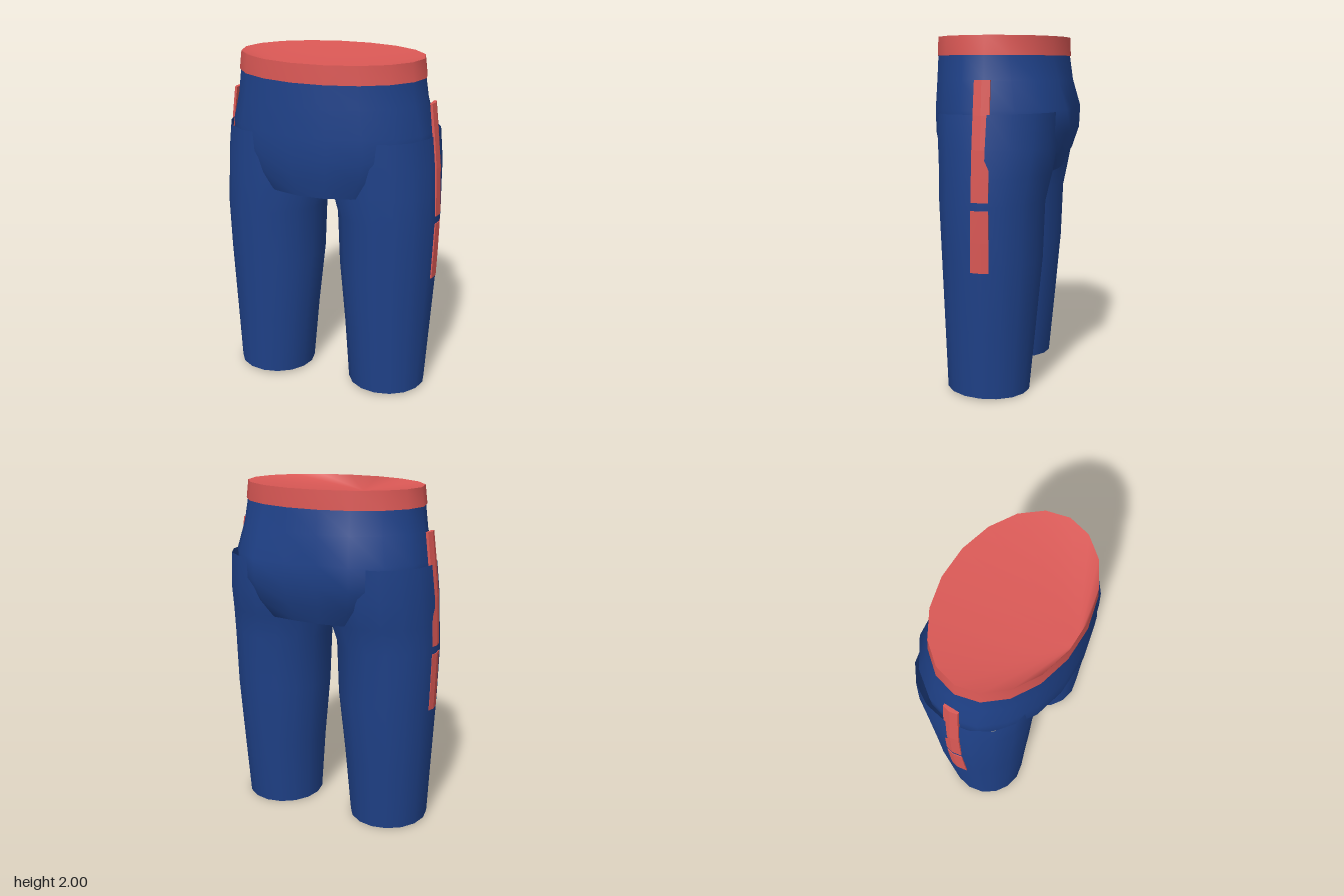
import * as THREE from 'three';
import { mergeVertices } from 'three/addons/utils/BufferGeometryUtils.js';

const red = new THREE.MeshStandardMaterial({ color: 0xda5855, side: THREE.DoubleSide });
red.name = 'red trim';
const blue = new THREE.MeshStandardMaterial({ color: 0x1f4188, side: THREE.DoubleSide });
blue.name = 'blue cloth';

// Smooth skin over elliptical rings, top to bottom:
// [y, xMin, xMax, zFront, zBack, tilt, backFullness]; fullness above 1 flattens the back
function loft(rings, sides) {
  const pos = [], idx = [];
  for (const [y, x0, x1, zf, zb, tilt = 0, full = 1] of rings) {
    for (let j = 0; j < sides; j++) {
      const a = (j / sides) * Math.PI * 2;
      const s = Math.sin(a) < 0 ? Math.max(-1, Math.sin(a) * full) : Math.sin(a);
      pos.push((x0 + x1) / 2 + Math.cos(a) * (x1 - x0) / 2, y + tilt * s, (zf + zb) / 2 + s * (zf - zb) / 2);
    }
  }
  for (let i = 0; i < rings.length - 1; i++) {
    for (let j = 0; j < sides; j++) {
      const k = (j + 1) % sides, a = i * sides, b = a + sides;
      idx.push(a + j, a + k, b + j, a + k, b + k, b + j);
    }
  }
  const g = new THREE.BufferGeometry();
  g.setAttribute('position', new THREE.Float32BufferAttribute(pos, 3));
  g.setIndex(idx);
  const merged = mergeVertices(g);
  merged.computeVertexNormals();
  return merged;
}

function add(parent, name, geometry, material) {
  const m = new THREE.Mesh(geometry, material);
  m.name = name;
  parent.add(m);
}

const oval = (y, rx, zf, zb, full = 1) => [y, -rx, rx, zf, zb, 0, full];

// Side stripe folded round the outside of a leg, points are [y, x]
function stripe(points) {
  const pos = [], idx = [], sides = 5;
  for (const [y, x] of points) {
    const drift = (1.76 - y) * 0.018;
    const zf = 0.053 + drift, zb = -0.035 + drift * 0.2;
    pos.push(x - 0.01, y, zf, x, y, 0.01, x - 0.01, y, zb, x - 0.024, y, zb, x - 0.024, y, zf);
  }
  const n = points.length;
  for (let i = 0; i < n - 1; i++) {
    for (let j = 0; j < sides; j++) {
      const a = i * sides + j, b = i * sides + (j + 1) % sides;
      idx.push(a, b, a + sides, b, b + sides, a + sides);
    }
  }
  // End caps
  const e = (n - 1) * sides;
  for (let j = 1; j < sides - 1; j++) idx.push(0, j, j + 1, e, e + j + 1, e + j);
  // Turn the walls outward: the section runs front to back
  for (let t = 0; t < (n - 1) * sides * 6; t += 3) [idx[t + 1], idx[t + 2]] = [idx[t + 2], idx[t + 1]];
  const g = new THREE.BufferGeometry();
  g.setAttribute('position', new THREE.Float32BufferAttribute(pos, 3));
  g.setIndex(idx);
  const flat = g.toNonIndexed();
  flat.computeVertexNormals();
  return flat;
}

export function createModel() {
  const model = new THREE.Group();
  model.name = 'shorts';

  // Waistband, closed by a lining that slopes down to a point at the front
  const waist = new THREE.Group();
  waist.name = 'waistband';
  model.add(waist);
  const top = oval(2, 0.538, 0.388, -0.368), bottom = oval(1.895, 0.552, 0.392, -0.372);
  add(waist, 'bandOutside', loft([top, bottom], 18), red);
  add(waist, 'bandUnderside', loft([bottom, oval(1.895, 0.52, 0.37, -0.35)], 18), red);
  add(waist, 'lining', loft([oval(1.908, 0, 0.38, 0.38), top], 18), red);

  // Hips, rounded in to the crotch and flatter across the seat
  const crotch = oval(1.25, 0.45, 0.36, -0.325, 1.1);
  add(model, 'hips', loft([
    oval(1.9, 0.543, 0.388, -0.366), oval(1.76, 0.562, 0.395, -0.38, 1.06),
    oval(1.6, 0.604, 0.402, -0.4, 1.155), oval(1.47, 0.598, 0.4, -0.395, 1.155),
    oval(1.35, 0.545, 0.383, -0.365, 1.13), crotch,
  ], 18), blue);
  add(model, 'crotch', loft([crotch, oval(1.25, 0, 0.01, 0.01)], 18), blue);

  // Open legs with side stripes, mirrored
  for (const side of [1, -1]) {
    const leg = new THREE.Group();
    leg.name = side > 0 ? 'leftLeg' : 'rightLeg';
    leg.scale.x = side;
    model.add(leg);
    add(leg, 'legTube', loft([
      [1.585, 0.03, 0.625, 0.32, -0.362, -0.006], [1.4, 0.02, 0.645, 0.32, -0.352],
      [1.25, 0.01, 0.65, 0.315, -0.325], [1.1, 0.055, 0.655, 0.31, -0.292],
      [0.78, 0.067, 0.646, 0.297, -0.28], [0.4, 0.105, 0.623, 0.281, -0.245],
      [0.012, 0.135, 0.6, 0.266, -0.207, 0.008],
    ], 16), blue);
    add(leg, 'upperStripe', stripe([[1.765, 0.61], [1.58, 0.632], [1.4, 0.65], [1.25, 0.655], [1.12, 0.659]]), red);
    add(leg, 'lowerStripe', stripe([[1.075, 0.659], [0.9, 0.655], [0.735, 0.649]]), red);
  }
  return model;
}
